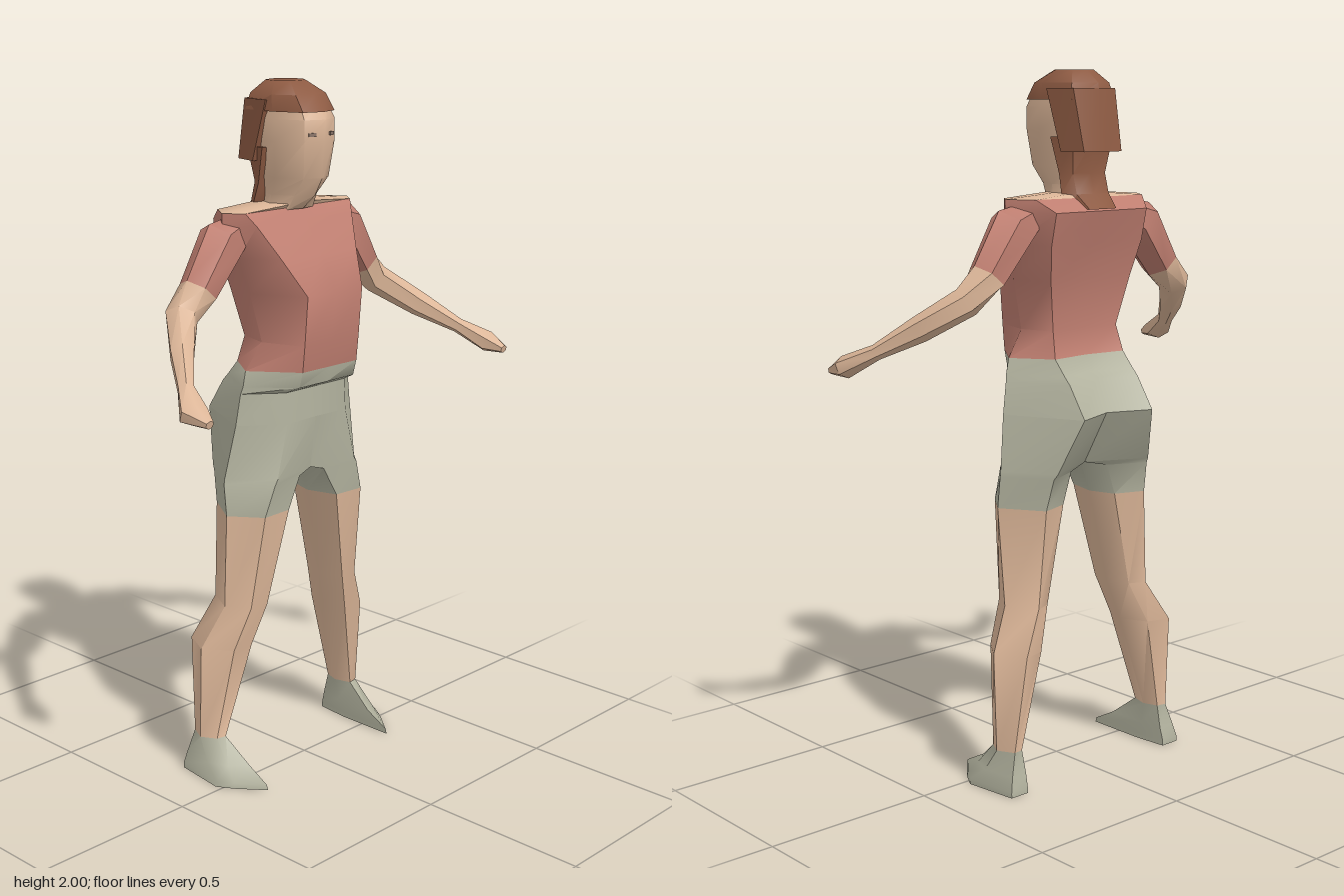
import * as THREE from 'three';
import { toCreasedNormals } from 'three/addons/utils/BufferGeometryUtils.js';

const material = (name, color) => {
  const m = new THREE.MeshStandardMaterial({ color });
  m.name = name;
  return m;
};

// Skin a list of equal rings; bands[i] is the material between ring i and i + 1.
function loft(name, rings, bands) {
  const n = rings[0].length, last = rings.length - 1;
  const index = [], geometry = new THREE.BufferGeometry();
  const mats = [...new Set(bands)];
  for (let r = 0; r < last; r++) {
    const start = index.length;
    if (r === 0) for (let i = 1; i < n - 1; i++) index.push(0, i + 1, i);
    for (let i = 0; i < n; i++) {
      const a = r * n + i, b = r * n + (i + 1) % n;
      index.push(a, b, b + n, a, b + n, a + n);
    }
    if (r === last - 1) for (let i = 1; i < n - 1; i++) index.push(last * n, last * n + i, last * n + i + 1);
    geometry.addGroup(start, index.length - start, mats.indexOf(bands[r]));
  }
  geometry.setAttribute('position', new THREE.Float32BufferAttribute(rings.flat(2), 3));
  geometry.setIndex(index);
  const mesh = new THREE.Mesh(toCreasedNormals(geometry, 0.9), mats);
  mesh.name = name;
  return mesh;
}

// Level ring from [x, z] pairs.
const level = (y, pts) => pts.map(([x, z]) => [x, y, z]);

// Symmetric ring: front centre, front corner, side, back corner, back centre.
function symmetric(y, front, fc, side, bc, back) {
  const right = [bc, side, fc].map(([x, z]) => [-x, z]);
  return level(y, [[0, front], fc, side, bc, [0, back], ...right]);
}

// Mirror rings across x = 0, keeping them facing outward.
const mirror = (rings) => rings.map((ring) => ring.map(([x, y, z]) => [-x, y, z]).reverse());

// Six-sided rings square to a path of [x, y, z, half height, half depth].
function along(path) {
  const centres = path.map((p) => new THREE.Vector3(p[0], p[1], p[2]));
  return path.map((p, i) => {
    const dir = centres[Math.min(i + 1, path.length - 1)].clone()
      .sub(centres[Math.max(i - 1, 0)]).normalize();
    const u = new THREE.Vector3(0, 1, 0).addScaledVector(dir, -dir.y).normalize();
    const v = dir.clone().cross(u);
    return Array.from({ length: 6 }, (_, k) => {
      const t = (k / 6) * Math.PI * 2;
      return centres[i].clone().addScaledVector(u, Math.cos(t) * p[3])
        .addScaledVector(v, Math.sin(t) * p[4]).toArray();
    });
  });
}

export function createModel() {
  const group = new THREE.Group();
  group.name = 'figure';
  const skin = material('skin', 0xdcb698);
  const shirt = material('shirt', 0xbf7e70);
  const cloth = material('shorts and shoes', 0xb3b39f);
  const hair = material('hair', 0x8e5b43);
  const eye = material('eyes', 0x8a7468);

  // Hips, shirt body and bare shoulder tops
  group.add(loft('torso', [
    symmetric(1.06, 0.045, [0.12, 0.05], [0.235, -0.04], [0.13, -0.26], -0.21),
    symmetric(1.15, 0.045, [0.12, 0.045], [0.22, -0.035], [0.13, -0.2], -0.165),
    symmetric(1.17, 0.09, [0.11, 0.088], [0.215, -0.03], [0.13, -0.18], -0.15),
    symmetric(1.215, 0.1, [0.11, 0.1], [0.205, -0.03], [0.13, -0.14], -0.125),
    symmetric(1.29, 0.108, [0.11, 0.108], [0.15, -0.02], [0.12, -0.12], -0.115),
    symmetric(1.43, 0.12, [0.11, 0.12], [0.185, -0.03], [0.15, -0.145], -0.13),
    symmetric(1.53, 0.065, [0.15, 0.06], [0.21, -0.05], [0.17, -0.17], -0.16),
    symmetric(1.62, 0.005, [0.19, 0.005], [0.25, -0.07], [0.17, -0.19], -0.19),
    symmetric(1.655, -0.02, [0.21, -0.02], [0.25, -0.07], [0.2, -0.14], -0.15),
    symmetric(1.667, -0.01, [0.05, -0.015], [0.075, -0.07], [0.05, -0.13], -0.14),
  ], [cloth, cloth, cloth, shirt, shirt, shirt, shirt, shirt, skin]));

  // Legs: shoe, bare leg and shorts, from sole to hip
  const leg = [
    level(0, [[0.26, 0.105], [0.32, 0.03], [0.35, -0.02], [0.33, -0.18], [0.27, -0.18], [0.26, -0.08]]),
    level(0.015, [[0.26, 0.1], [0.32, 0.025], [0.348, -0.02], [0.33, -0.18], [0.27, -0.18], [0.26, -0.08]]),
    level(0.055, [[0.26, 0.025], [0.31, -0.01], [0.335, -0.07], [0.32, -0.172], [0.268, -0.17], [0.258, -0.1]]),
    level(0.12, [[0.27, -0.06], [0.3, -0.065], [0.325, -0.11], [0.3, -0.16], [0.27, -0.155], [0.255, -0.11]]),
    level(0.4, [[0.2, -0.02], [0.27, -0.02], [0.325, -0.1], [0.28, -0.19], [0.21, -0.17], [0.172, -0.09]]),
    level(0.52, [[0.16, 0.005], [0.22, 0], [0.258, -0.07], [0.21, -0.16], [0.16, -0.14], [0.138, -0.07]]),
    level(0.8, [[0.1, 0.035], [0.2, 0.04], [0.265, -0.05], [0.19, -0.17], [0.1, -0.14], [0.075, -0.06]]),
    level(0.89, [[0.05, 0.03], [0.17, 0.05], [0.264, -0.06], [0.18, -0.19], [0.07, -0.14], [0.04, -0.06]]),
    level(0.905, [[0, 0.025], [0.16, 0.05], [0.262, -0.06], [0.175, -0.2], [0, -0.12], [0, -0.06]]),
    level(1.06, [[0, 0.045], [0.12, 0.05], [0.235, -0.04], [0.13, -0.26], [0, -0.21], [0, -0.08]]),
  ];
  const legBands = [cloth, cloth, cloth, skin, skin, skin, cloth, cloth, cloth];
  group.add(loft('leftLeg', leg, legBands), loft('rightLeg', mirror(leg), legBands));

  // Arms: sleeve, forearm and hand
  const arm = along([
    [0.17, 1.61, -0.085, 0.04, 0.05],
    [0.235, 1.58, -0.085, 0.068, 0.07],
    [0.328, 1.45, -0.085, 0.054, 0.057],
    [0.395, 1.39, -0.08, 0.043, 0.047],
    [0.48, 1.315, 0.015, 0.037, 0.036],
    [0.555, 1.25, 0.11, 0.022, 0.024],
    [0.602, 1.205, 0.19, 0.032, 0.042],
    [0.603, 1.19, 0.25, 0.012, 0.014],
  ]);
  const armBands = [shirt, shirt, skin, skin, skin, skin, skin];
  group.add(loft('leftArm', arm, armBands), loft('rightArm', mirror(arm), armBands));

  // Neck and face
  group.add(loft('head', [
    symmetric(1.65, -0.005, [0.05, -0.015], [0.075, -0.07], [0.05, -0.13], -0.14),
    symmetric(1.69, 0.04, [0.045, 0.005], [0.07, -0.06], [0.05, -0.12], -0.13),
    symmetric(1.74, 0.068, [0.05, 0.045], [0.085, -0.03], [0.06, -0.12], -0.125),
    symmetric(1.84, 0.075, [0.06, 0.058], [0.088, -0.03], [0.07, -0.13], -0.14),
    symmetric(1.9, 0.082, [0.06, 0.058], [0.088, -0.03], [0.07, -0.14], -0.15),
    symmetric(1.94, 0.05, [0.055, 0.035], [0.08, -0.035], [0.065, -0.13], -0.15),
  ], [skin, skin, skin, skin, skin]));

  // Hair: crown, long back section and nape
  group.add(loft('hairCrown', [
    symmetric(1.92, 0.074, [0.062, 0.055], [0.09, -0.035], [0.08, -0.15], -0.178),
    symmetric(1.965, 0.04, [0.06, 0.025], [0.088, -0.04], [0.07, -0.14], -0.17),
    symmetric(2, -0.02, [0.03, -0.025], [0.055, -0.06], [0.04, -0.11], -0.125),
  ], [hair, hair]));
  group.add(loft('hairBack', [
    symmetric(1.78, -0.1, [0.05, -0.1], [0.088, -0.115], [0.07, -0.19], -0.2),
    symmetric(1.95, -0.05, [0.06, -0.045], [0.091, -0.06], [0.078, -0.155], -0.175),
  ], [hair]));
  group.add(loft('hairNape', [
    symmetric(1.625, -0.13, [0.05, -0.13], [0.07, -0.14], [0.05, -0.192], -0.194),
    symmetric(1.665, -0.1, [0.06, -0.1], [0.085, -0.115], [0.06, -0.15], -0.155),
    symmetric(1.72, -0.09, [0.055, -0.09], [0.08, -0.1], [0.06, -0.135], -0.14),
    symmetric(1.82, -0.06, [0.06, -0.06], [0.09, -0.075], [0.075, -0.15], -0.16),
  ], [hair, hair, hair]));

  // Eyes: small plates on the face
  for (const side of [1, -1]) {
    const plate = new THREE.Mesh(new THREE.BoxGeometry(0.022, 0.01, 0.006), eye);
    plate.name = side > 0 ? 'leftEye' : 'rightEye';
    plate.position.set(side * 0.038, 1.86, 0.066);
    plate.rotation.y = side * 0.32;
    group.add(plate);
  }
  return group;
}
